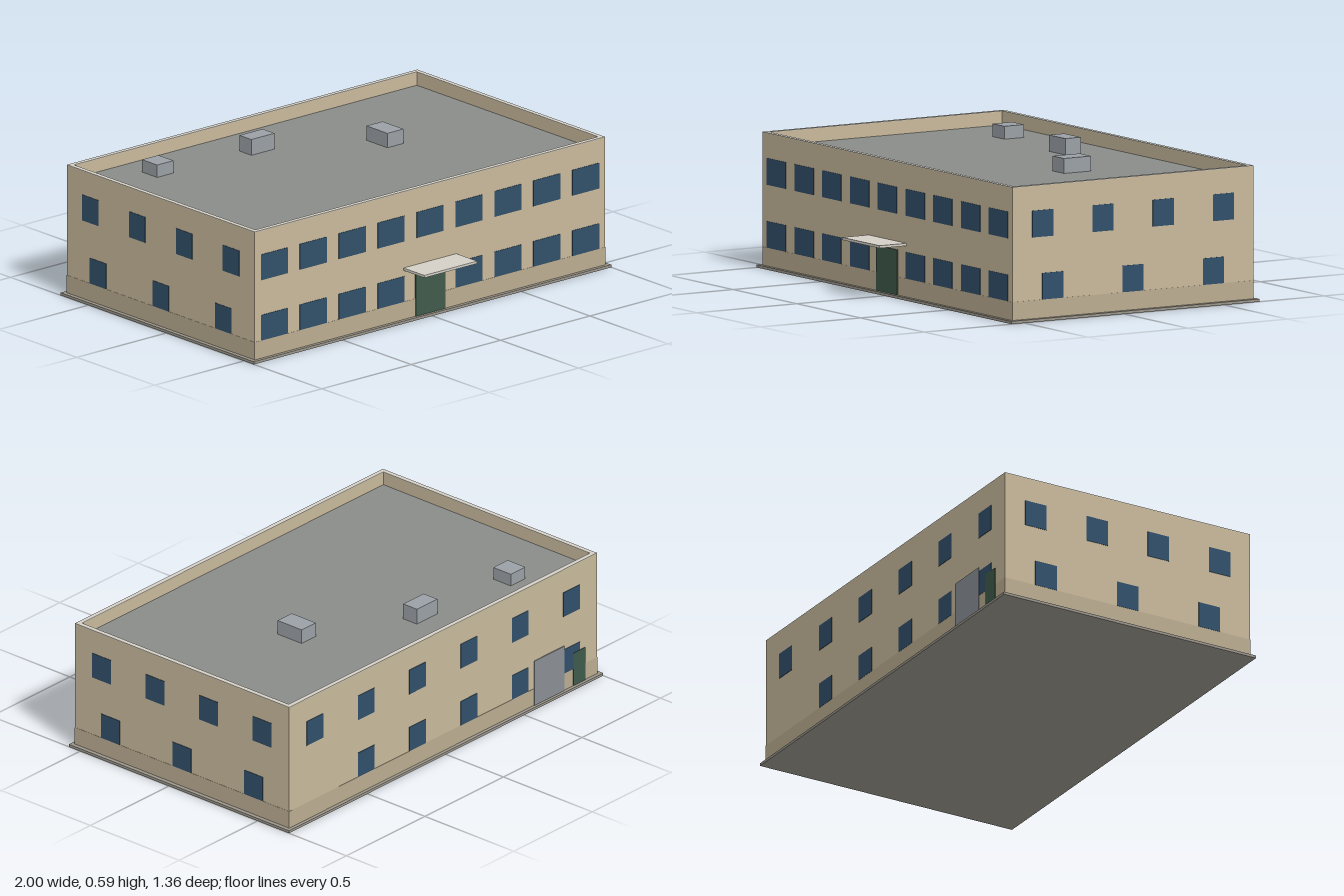
import * as THREE from 'three';

const COLORS = {
  wall: 0xc8b99c, band: 0xbbac91, base: 0x9a958a, coping: 0xd4d0c6, roof: 0x8a8c8a,
  unit: 0x9aa0a5, window: 0x31506a, door: 0x3f5a4b, shutter: 0x8a8f95,
};
const mats = {};
for (const key in COLORS) mats[key] = new THREE.MeshStandardMaterial({ color: COLORS[key] });

// Building footprint
const HX = 0.98, HZ = 0.603, CZ = -0.057;
const BASE = 0.012, TOP = 0.58, ROOF = 0.52, RIM = 0.021;

function box(parent, name, mat, [w, h, d], [x, y, z]) {
  const mesh = new THREE.Mesh(new THREE.BoxGeometry(w, h, d), mats[mat]);
  mesh.name = name;
  mesh.position.set(x, y, z);
  parent.add(mesh);
  return mesh;
}

// Rectangular ring standing between two heights
function ring(parent, name, mat, hx, hz, thickness, y0, y1) {
  const rect = (path, a, b) =>
    path.moveTo(-a, -b).lineTo(a, -b).lineTo(a, b).lineTo(-a, b).closePath();
  const shape = rect(new THREE.Shape(), hx, hz);
  shape.holes.push(rect(new THREE.Path(), hx - thickness, hz - thickness));
  const geo = new THREE.ExtrudeGeometry(shape, { depth: y1 - y0, bevelEnabled: false });
  geo.rotateX(-Math.PI / 2);
  const mesh = new THREE.Mesh(geo, mats[mat]);
  mesh.name = name;
  mesh.position.y = y0;
  parent.add(mesh);
}

// A facade is a group whose local +z points out of the wall
function facade(parent, name, angle, distance) {
  const g = new THREE.Group();
  g.name = name;
  g.rotation.y = angle;
  g.position.set(Math.sin(angle) * distance, 0, Math.cos(angle) * distance);
  parent.add(g);
  return g;
}

// Thin panel on a facade, standing out by a small amount
function panel(parent, name, mat, u, w, y0, y1, out) {
  box(parent, name, mat, [w, y1 - y0, out + 0.004], [u, (y0 + y1) / 2, (out - 0.004) / 2]);
}

// Evenly spaced row of windows along a wall
function windowRow(parent, count, length, w, y0, y1, skip = -1) {
  for (let i = 0; i < count; i++) {
    if (i === skip) continue;
    panel(parent, 'window', 'window', ((i + 0.5) / count - 0.5) * length, w, y0, y1, 0.002);
  }
}

export function createModel() {
  const model = new THREE.Group();
  model.name = 'building';
  const body = new THREE.Group();
  body.name = 'body';
  body.position.z = CZ;
  model.add(body);

  // Ground slab, walls with parapet, roof deck
  box(body, 'baseSlab', 'base', [2, BASE, 1.24], [0, BASE / 2, 0]);
  ring(body, 'walls', 'wall', HX, HZ, RIM, BASE, TOP - 0.003);
  ring(body, 'parapetCoping', 'coping', HX, HZ, RIM, TOP - 0.003, TOP);
  ring(body, 'plinthBand', 'band', HX + 0.001, HZ + 0.001, 0.01, BASE, 0.09);
  box(body, 'roofDeck', 'roof', [2 * (HX - RIM), 0.02, 2 * (HZ - RIM)], [0, ROOF - 0.01, 0]);

  // Facades
  const low = [0.09, 0.203], high = [0.358, 0.472];
  const front = facade(body, 'frontFacade', 0, HZ);
  windowRow(front, 9, 2 * HX, 0.15, ...high);
  windowRow(front, 9, 2 * HX, 0.15, ...low, 4);
  panel(front, 'frontDoor', 'door', 0, 0.165, BASE, 0.205, 0.004);
  box(front, 'entranceCanopy', 'coping', [0.296, 0.011, 0.134], [0, 0.235, 0.067]);

  const back = facade(body, 'backFacade', Math.PI, HZ);
  windowRow(back, 6, 2 * HX, 0.105, ...high);
  windowRow(back, 6, 2 * HX, 0.105, ...low, 0);
  panel(back, 'loadingShutter', 'shutter', 0.673, 0.19, BASE, 0.22, 0.004);
  panel(back, 'backDoor', 'door', 0.865, 0.075, BASE, 0.165, 0.004);

  for (const side of [1, -1]) {
    const wall = facade(body, side > 0 ? 'leftFacade' : 'rightFacade', side * Math.PI / 2, HX);
    windowRow(wall, 4, 2 * HZ, 0.105, ...high);
    windowRow(wall, 3, 2 * HZ, 0.105, ...low);
  }

  // Rooftop units: x, z, width, depth, height
  for (const [x, z, w, d, h] of [
    [-0.64, -0.467, 0.092, 0.098, 0.055],
    [-0.125, -0.421, 0.13, 0.077, 0.07],
    [0.355, -0.15, 0.09, 0.135, 0.064],
  ]) box(model, 'rooftopUnit', 'unit', [w, h, d], [x, ROOF + h / 2, z]);

  return model;
}
